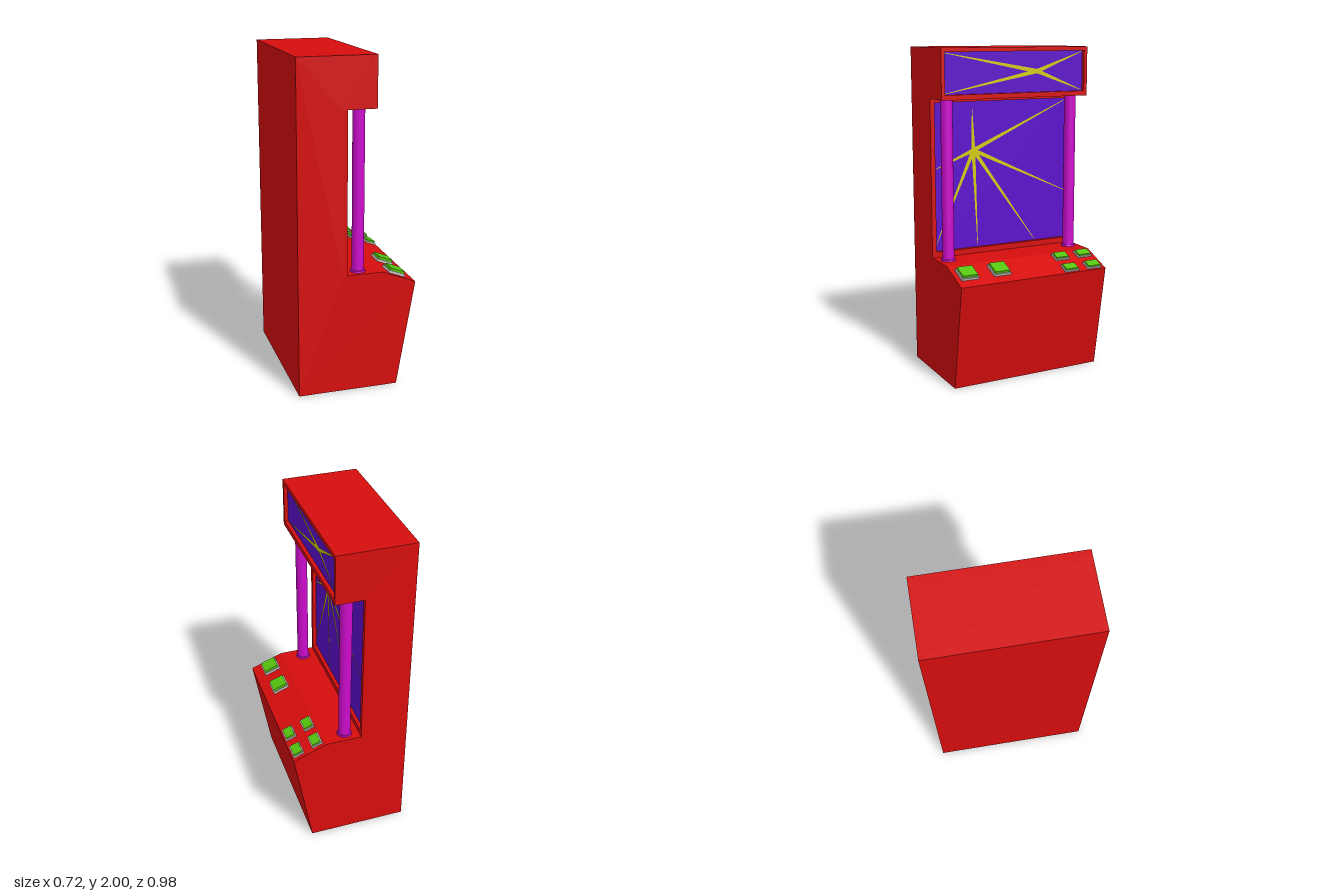
import * as THREE from 'three';
import { mergeGeometries } from 'three/addons/utils/BufferGeometryUtils.js';

const mat = (color) => new THREE.MeshStandardMaterial({ color });
const red = mat(0xd60d0d), purple = mat(0x5c0ccc), yellow = mat(0xd0cc0c);
const magenta = mat(0xcc0ccc), green = mat(0x55c40c), grey = mat(0xcccccc);

const HALF = 0.49;      // half the cabinet width
const RECESS = 0.025;   // depth of the screens behind their frames

function add(parent, name, geometry, material) {
  const mesh = new THREE.Mesh(geometry, material);
  mesh.name = name;
  parent.add(mesh);
  return mesh;
}

const shapeOf = (pts) => new THREE.Shape(pts.map(([x, y]) => new THREE.Vector2(x, y)));
const rect = (w, y0, y1) => [[-w, y0], [w, y0], [w, y1], [-w, y1]];

// Slim tapering ray from a centre to a tip, drawn in the (-z, y) plane
function ray([z0, y0], [z1, y1], width) {
  const c = new THREE.Vector2(-z0, y0), tip = new THREE.Vector2(-z1, y1);
  const d = tip.clone().sub(c).normalize();
  const n = new THREE.Vector2(-d.y, d.x);
  const at = (p, w) => p.clone().addScaledVector(n, w / 2);
  return new THREE.ShapeGeometry(new THREE.Shape([
    at(c, width), at(tip, 0.003), at(tip, -0.003), at(c, -width),
  ]));
}

// Framed, recessed screen with a burst of rays; x is the front of the frame
function screen(name, x, outer, inner, centre, tips) {
  const group = new THREE.Group();
  group.name = name;
  const shape = shapeOf(rect(HALF, outer[0], outer[1]));
  shape.holes.push(new THREE.Path(shapeOf(rect(inner[0], inner[1], inner[2])).getPoints()));
  const frame = new THREE.ExtrudeGeometry(shape, { depth: RECESS, bevelEnabled: false });
  add(group, 'frame', frame.rotateY(Math.PI / 2).translate(x - RECESS, 0, 0), red);

  const panel = new THREE.ShapeGeometry(shapeOf(rect(inner[0], inner[1], inner[2])));
  add(group, 'panel', panel.rotateY(Math.PI / 2).translate(x - RECESS + 0.002, 0, 0), purple);

  const burst = mergeGeometries(tips.map((tip) => ray(centre, tip, 0.026)));
  add(group, 'rays', burst.rotateY(Math.PI / 2).translate(x - RECESS + 0.005, 0, 0), yellow);
  return group;
}

// Square button: grey base with a green cap, standing on the sloped panel
function button(name, x, z, length, width, height) {
  const group = new THREE.Group();
  group.name = name;
  add(group, 'base', new THREE.BoxGeometry(length, height * 0.5, width), grey)
    .position.y = height * 0.25;
  add(group, 'cap', new THREE.BoxGeometry(length - 0.014, height * 0.55, width - 0.014), green)
    .position.y = height * 0.725;
  const slope = Math.atan2(0.08, 0.205);
  group.position.set(x, 0.73 - (x - 0.15) * Math.tan(slope), z);
  group.rotation.z = -slope;
  return group;
}

export function createModel() {
  const model = new THREE.Group();
  model.name = 'arcadeCabinet';

  // Cabinet body, side profile stretched across the width
  const profile = shapeOf([
    [-0.365, 0], [0.245, 0], [0.355, 0.65], [0.15, 0.73], [-0.07 - RECESS, 0.73],
    [-0.07 - RECESS, 1.7], [0.103 - RECESS, 1.7], [0.103 - RECESS, 2], [-0.365, 2],
  ]);
  const body = new THREE.ExtrudeGeometry(profile, { depth: HALF * 2, bevelEnabled: false });
  add(model, 'body', body.translate(0, 0, -HALF), red);

  // Main screen and the lit sign above it
  model.add(screen('mainScreen', -0.07, [0.73, 1.7], [0.462, 0.765, 1.675], [0.2, 1.375], [
    [0.207, 1.627], [-0.457, 1.668], [-0.457, 1.073], [-0.228, 0.774],
    [0.175, 0.78], [0.456, 0.805], [0.456, 1.272],
  ]));
  model.add(screen('topSign', 0.103, [1.7, 2], [0.468, 1.73, 1.975], [-0.148, 1.855], [
    [0.462, 1.97], [0.462, 1.735], [-0.46, 1.97], [-0.46, 1.735],
  ]));

  // Columns with foot rings on both sides
  for (const side of [1, -1]) {
    const column = new THREE.Group();
    column.name = side > 0 ? 'leftColumn' : 'rightColumn';
    add(column, 'shaft', new THREE.CylinderGeometry(0.036, 0.036, 0.97, 32), magenta)
      .position.y = 1.215;
    add(column, 'foot', new THREE.CylinderGeometry(0.044, 0.046, 0.01, 32), magenta)
      .position.y = 0.735;
    column.position.set(0.015, 0, side * 0.422);
    model.add(column);
  }

  // Two large buttons on one side, a two by two block on the other
  for (const z of [0.196, 0.406]) model.add(button('largeButton', 0.246, z, 0.108, 0.11, 0.03));
  for (const x of [0.197, 0.313])
    for (const z of [-0.257, -0.417]) model.add(button('smallButton', x, z, 0.07, 0.098, 0.02));

  return model;
}
